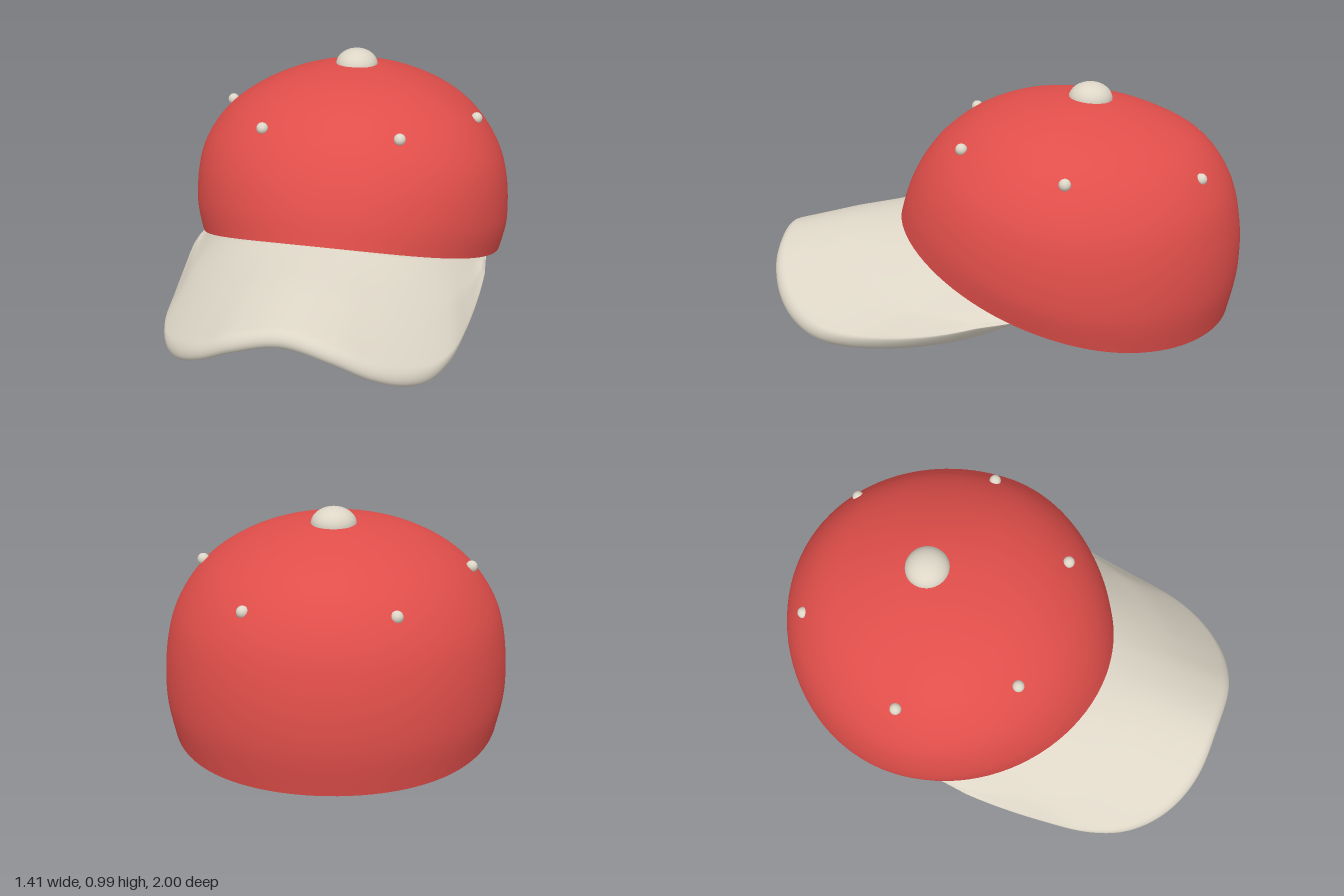
import * as THREE from 'three';
import { mergeVertices } from 'three/addons/utils/BufferGeometryUtils.js';

const mat = (name, color) => {
  const m = new THREE.MeshStandardMaterial({ color });
  m.name = name;
  return m;
};

// Smooth surface from a function of two grid indices
function grid(nu, nv, point, flip = false) {
  const pos = [], idx = [];
  for (let i = 0; i <= nu; i++)
    for (let j = 0; j <= nv; j++) pos.push(...point(i, j).toArray());
  for (let i = 0; i < nu; i++)
    for (let j = 0; j < nv; j++) {
      const a = i * (nv + 1) + j, b = a + nv + 1;
      if (flip) idx.push(a, b + 1, b, a, a + 1, b + 1);
      else idx.push(a, b, b + 1, a, b + 1, a + 1);
    }
  let g = new THREE.BufferGeometry();
  g.setAttribute('position', new THREE.Float32BufferAttribute(pos, 3));
  g.setIndex(idx);
  g = mergeVertices(g, 1e-5);
  g.computeVertexNormals();
  return g;
}

// Crown profiles (radius, height) from rim to apex
const profile = pts => new THREE.SplineCurve(pts.map(p => new THREE.Vector2(...p)));
const front = profile([[.735, .412], [.70, .53], [.64, .65], [.55, .76], [.42, .855], [.27, .915], [.12, .94], [0, .945]]);
const side = profile([[.676, .128], [.704, .27], [.694, .46], [.648, .61], [.54, .755], [.37, .865], [.17, .93], [0, .945]]);
const back = profile([[.695, .03], [.73, .22], [.725, .42], [.675, .61], [.56, .765], [.38, .865], [.17, .93], [0, .945]]);
const CENTRE_Z = -.27;

// Point on the crown: s runs rim to apex, angle 0 is the front
function crownPoint(s, angle, inset = 0) {
  const f = front.getPoint(s), w = side.getPoint(s), b = back.getPoint(s);
  const c = Math.cos(angle), k = 1 - inset / .7;
  const y = w.y + (f.y - b.y) / 2 * c + ((f.y + b.y) / 2 - w.y) * c * c;
  return new THREE.Vector3(w.x * k * Math.sin(angle), y - inset * s, CENTRE_Z + (c > 0 ? f.x : b.x) * k * c);
}

// Outer edge of the bill: half the points, mirrored through the middle of the tip
const halfEdge = [
  [.2, .21, .995], [.34, .135, .952], [.45, .075, .875], [.535, .038, .765],
  [.588, .033, .62], [.612, .047, .43], [.628, .088, .22], [.638, .178, -.06],
];
const billEdge = new THREE.CatmullRomCurve3([
  ...halfEdge.map(([x, y, z]) => new THREE.Vector3(-x, y, z)).reverse(),
  new THREE.Vector3(0, .26, 1),
  ...halfEdge.map(p => new THREE.Vector3(...p)),
]);

function billGeometry() {
  // Closed section: top outwards, round the edge, bottom inwards
  const FLAT = .93, section = [];
  for (let k = 0; k <= 12; k++) section.push([FLAT * k / 12, 1]);
  for (let k = 1; k < 10; k++) {
    const a = Math.PI * k / 10;
    section.push([FLAT + (1 - FLAT) * Math.sin(a), Math.cos(a)]);
  }
  for (let k = 12; k >= 0; k--) section.push([FLAT * k / 12, -1]);
  section.push(section[0]);

  const N = 80;
  return grid(N, section.length - 1, (i, j) => {
    const u = 2 * i / N - 1, [v, h] = section[j];
    const inner = crownPoint(0, u * 1.32, .045);
    inner.y -= .012 * (1 - u * u);
    const outer = billEdge.getPoint((1 + Math.sign(u) * Math.pow(Math.abs(u), 1.15)) / 2);
    const half = (.018 + .022 * Math.min(1, v * 2)) * Math.min(1, inner.distanceTo(outer) / .15);
    const normal = new THREE.Vector3(.9 * u, 1, .1).normalize();
    return inner.lerp(outer, v).addScaledVector(normal, h * half);
  }, true);
}

export function createModel() {
  const red = mat('crown red', 0xe04e4a);
  const pink = mat('lining red', 0xe06967);
  const cream = mat('cream', 0xddd6c7);
  const cap = new THREE.Group();
  cap.name = 'cap';
  const add = (name, geo, material, parent = cap) => {
    const m = new THREE.Mesh(geo, material);
    m.name = name;
    parent.add(m);
    return m;
  };

  // Crown shell with a rim turned inwards, a narrow sweatband and a thin lining
  const N = 96, LIP = .024, BAND = .048, BAND_TOP = .03, WALL = .012;
  const turn = i => (i % N) * 2 * Math.PI / N;
  const liningInset = s => WALL + (BAND - WALL) * (1 - THREE.MathUtils.smoothstep(s, BAND_TOP, .14));
  add('crown', grid(N, 42, (i, j) => crownPoint(j / 42, turn(i))), red);
  add('crownRim', grid(N, 1, (i, j) => crownPoint(0, turn(i), LIP * j), true), red);
  add('sweatbandEdge', grid(N, 1, (i, j) => crownPoint(0, turn(i), LIP + (BAND - LIP) * j), true), cream);
  add('sweatband', grid(N, 2, (i, j) => crownPoint(BAND_TOP * j / 2, turn(i), BAND), true), cream);
  add('lining', grid(N, 48, (i, j) => {
    const s = BAND_TOP + (1 - BAND_TOP) * j / 48;
    return crownPoint(s, turn(i), liningInset(s));
  }, true), pink);

  // Curved bill
  add('bill', billGeometry(), cream);

  // Top button
  const button = add('topButton', new THREE.SphereGeometry(1, 32, 20), cream);
  button.scale.set(.093, .07, .093);
  button.position.set(0, .932, -.345);

  // Six eyelets, mirrored in pairs
  const eyelets = new THREE.Group();
  eyelets.name = 'eyelets';
  cap.add(eyelets);
  const eyelet = new THREE.SphereGeometry(.025, 16, 12);
  for (const [x, y, z] of [[.293, .79, .167], [.553, .75, -.268], [.29, .692, -.806]])
    for (const s of [1, -1]) add('eyelet', eyelet, cream, eyelets).position.set(s * x, y, z);

  return cap;
}
